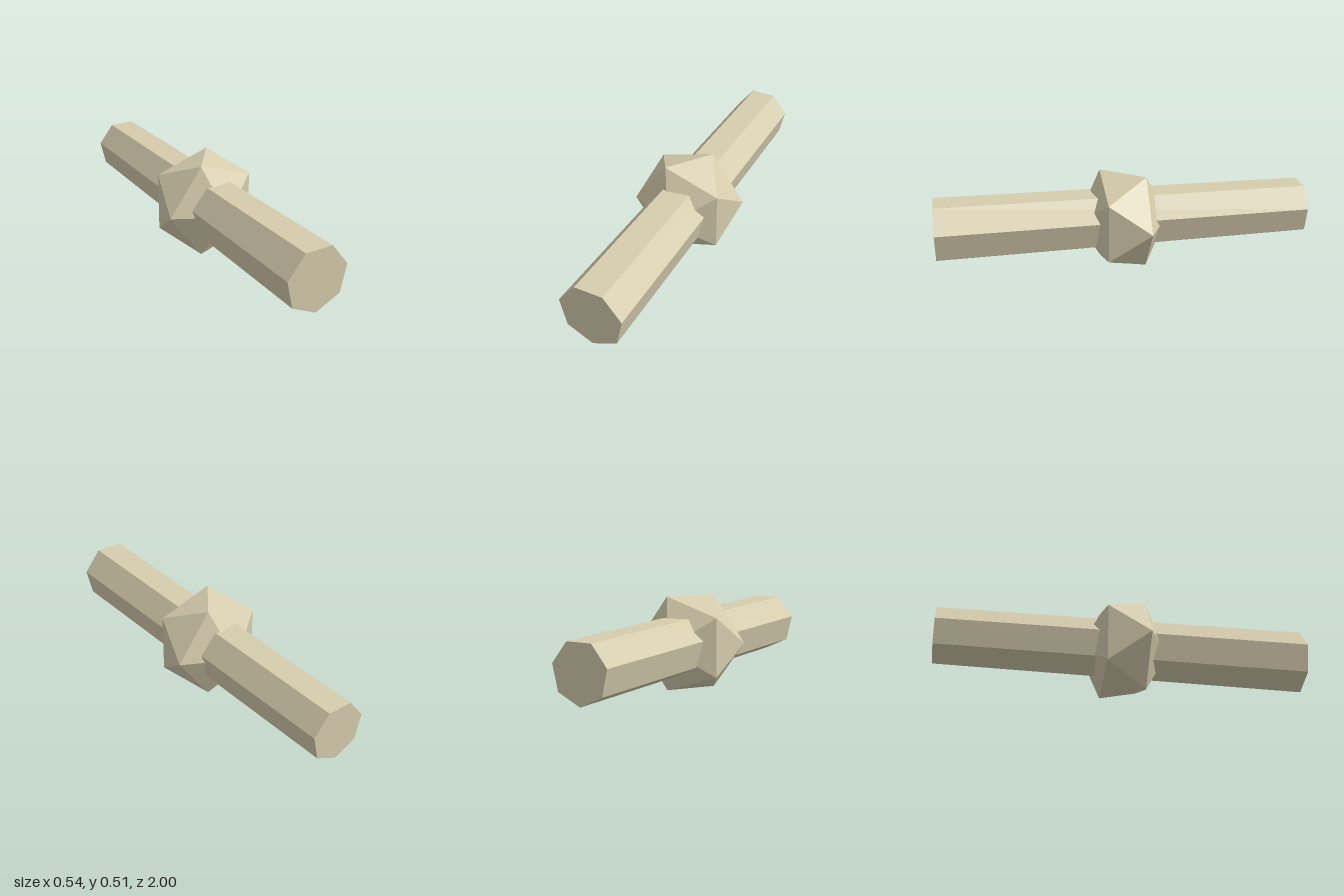
import * as THREE from 'three';
import { ConvexGeometry } from 'three/addons/geometries/ConvexGeometry.js';

export function createModel() {
  const model = new THREE.Group();
  const bone = new THREE.MeshStandardMaterial({ color: 0xd6cdae, flatShading: true });
  bone.name = 'bone';
  const centreY = 0.256;

  // Seven-sided shaft along z, slightly thicker at the front
  const shaft = new THREE.Mesh(
    new THREE.CylinderGeometry(0.174, 0.155, 2, 7).rotateX(Math.PI / 2), bone);
  shaft.name = 'shaft';
  shaft.position.y = centreY;
  model.add(shaft);

  // Flattened twenty-faced knot: two opposed pentagon rings and two tips
  const points = [new THREE.Vector3(0, 0, 0.25), new THREE.Vector3(0, 0, -0.25)];
  for (let i = 0; i < 5; i++) {
    const a = (i * 2 * Math.PI) / 5;
    const x = 0.268 * Math.cos(a), y = 0.268 * Math.sin(a);
    points.push(new THREE.Vector3(-x, y, 0.112), new THREE.Vector3(x, y, -0.112));
  }
  const knot = new THREE.Mesh(new ConvexGeometry(points), bone);
  knot.name = 'knot';
  knot.position.y = centreY;
  model.add(knot);

  return model;
}
